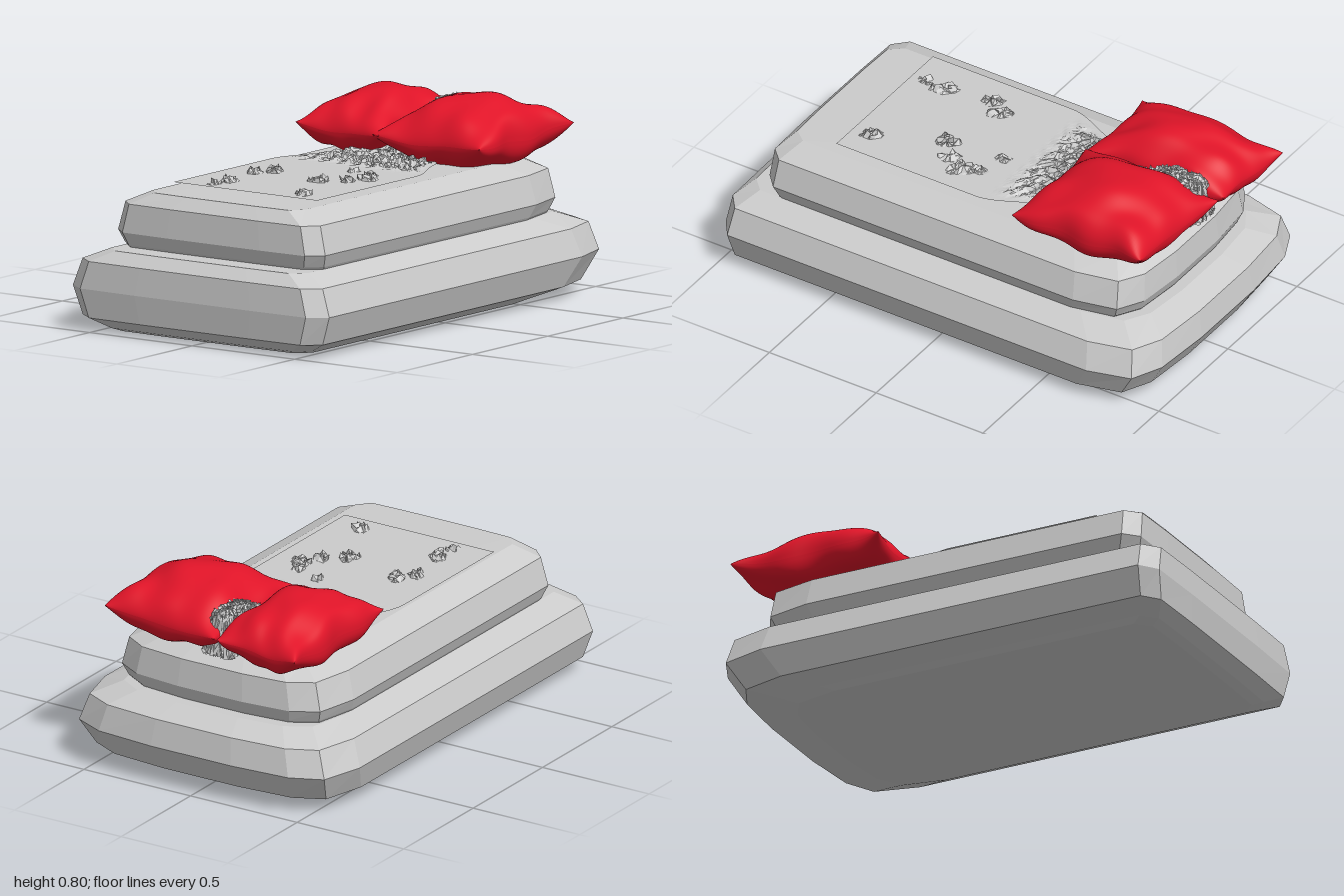
import * as THREE from 'three';

const grey = new THREE.MeshStandardMaterial({ color: 0xcccccc, flatShading: true });
const greyCloth = new THREE.MeshStandardMaterial({ color: 0xcccccc, flatShading: true, side: THREE.DoubleSide });
const red = new THREE.MeshStandardMaterial({ color: 0xe01428, side: THREE.DoubleSide });

const smooth = (a, b, x) => THREE.MathUtils.smoothstep(x, a, b);
const lerp = THREE.MathUtils.lerp;

function seeded(seed) {
  return () => {
    seed = (seed * 1664525 + 1013904223) % 4294967296;
    return seed / 4294967296;
  };
}

function makeMesh(name, positions, index, material) {
  const g = new THREE.BufferGeometry();
  g.setAttribute('position', new THREE.Float32BufferAttribute(positions, 3));
  g.setIndex(index);
  g.computeVertexNormals();
  const mesh = new THREE.Mesh(g, material);
  mesh.name = name;
  return mesh;
}

// Surface from a rule (u, v in 0..1) -> [x, y, z]
function sheet(name, nu, nv, rule, material, flip = false) {
  const pos = [], idx = [];
  for (let i = 0; i <= nu; i++)
    for (let j = 0; j <= nv; j++) pos.push(...rule(i / nu, j / nv));
  for (let i = 0; i < nu; i++)
    for (let j = 0; j < nv; j++) {
      const a = i * (nv + 1) + j, b = a + 1, c = a + nv + 1, d = c + 1;
      if (flip) idx.push(a, c, b, b, c, d);
      else idx.push(a, b, c, b, d, c);
    }
  return makeMesh(name, pos, idx, material);
}

// Faceted cushion: rings of [y, left x, right x, half depth]; the right end is rounder
function cushion(name, rings) {
  const pos = [], idx = [];
  let n = 0;
  for (const [y, xl, xr, hz] of rings) {
    const half = [
      [xl, 0], [xl, hz * 0.45], [xl + 0.005, hz * 0.88], [xl + 0.06, hz], [-0.3, hz], [0.25, hz],
      [xr - 0.26, hz], [xr - 0.08, hz * 0.92], [xr - 0.02, hz * 0.71], [xr, hz * 0.3],
    ];
    const ring = [...half, [xr, 0], ...half.slice(1).reverse().map(([x, z]) => [x, -z])];
    n = ring.length;
    for (const [x, z] of ring) pos.push(x, y, z);
  }
  const last = (rings.length - 1) * n;
  const bottom = rings.length * n, top = bottom + 1;
  pos.push(0, rings[0][0], 0, 0, rings[rings.length - 1][0] + 0.004, 0);
  for (let i = 0; i < n; i++) {
    const k = (i + 1) % n;
    for (let r = 0; r < last; r += n)
      idx.push(r + i, r + k, r + n + k, r + i, r + n + k, r + n + i);
    idx.push(k, i, bottom, last + i, last + k, top);
  }
  return makeMesh(name, pos, idx, grey);
}

// Pillow: two puffed halves meeting at a seam between four corners [x, y, z]
function pillow(name, corners, up, down, phase) {
  const group = new THREE.Group();
  group.name = name;
  const [c00, c10, c01, c11] = corners;
  const half = (side) => (u, v) => {
    // spacing tightens towards the seam
    const s = -Math.cos(u * Math.PI), t = -Math.cos(v * Math.PI);
    const pinchS = 1 - 0.07 * (1 - t * t), pinchT = 1 - 0.06 * (1 - s * s);
    const a = (s * pinchS + 1) / 2, b = (t * pinchT + 1) / 2;
    const p = [0, 1, 2].map((k) => lerp(lerp(c00[k], c10[k], a), lerp(c01[k], c11[k], a), b));
    const ds = Math.max(0, 1 - s * s), dt = Math.max(0, 1 - t * t);
    const puff = Math.pow(ds, side > 0 ? 0.6 : 0.45) * Math.pow(dt, 0.42);
    // creases run in from the seam and fade towards the middle
    const edge = 1 - ds * dt;
    const crease = 1 + 0.09 * edge * (Math.sin(7 * s + phase + 2 * t) + Math.sin(9 * t - phase + 2 * s));
    p[1] += side * (side > 0 ? up : down) * puff * crease - 0.02 * (1 - s * s * t * t);
    p[1] += 0.006 * Math.sin(6 * s + phase) * Math.sin(5 * t);
    p[2] += 0.008 * edge * Math.sin(8 * s + phase);
    return p;
  };
  group.add(sheet(name + 'Top', 48, 48, half(1), red));
  group.add(sheet(name + 'Bottom', 48, 48, half(-1), red, true));
  return group;
}

// Thin cover: flat with rumpled patches, gathered into a crumpled ridge between the pillows
function cover() {
  const rnd = seeded(7);
  const jitter = () => rnd() * 2 - 1;
  const patches = [
    [-0.55, -0.21, 0.035], [-0.46, -0.21, 0.05], [-0.26, -0.24, 0.045], [-0.2, -0.2, 0.05],
    [-0.27, 0.07, 0.05], [-0.2, 0.16, 0.04], [-0.12, 0.2, 0.06], [-0.53, 0.21, 0.045],
    [0, 0.07, 0.035], [-0.05, 0.18, 0.03],
  ];
  return sheet('cover', 140, 60, (u, v) => {
    const t = v * 2 - 1;
    let x = -0.62 + 1.49 * u;
    const neck = smooth(0.3, 0.5, x);
    let w = 0.35 - 0.1 * smooth(0.03, 0.33, x) - 0.21 * neck + 0.025 * smooth(0.6, 0.8, x);
    let z = lerp(-0.02, -0.035, neck) + w * t;
    // ridge height, falling away at the sides and the far end
    const rise = (0.1 * smooth(0.38, 0.55, x) + 0.065 * smooth(0.55, 0.72, x)) * (1 - smooth(0.845, 0.87, x));
    let y = 0.56 + rise * (1 - Math.pow(Math.abs(t), 4));
    let rough = 0;
    for (const [px, pz, r] of patches)
      if (Math.hypot(x - px, (z - pz) * 1.2) < r * (0.8 + 0.3 * Math.sin(40 * x + 55 * z))) rough = 0.016;
    // pleats radiating from the gathered neck
    const fan = smooth(0.06, 0.2, x) * (1 - neck) * (1 - smooth(0.75, 0.95, Math.abs(t)));
    const angle = Math.atan2(z + 0.03, 0.55 - x);
    y += fan * (0.008 + 0.011 * Math.sin(angle * 38 + 2 * Math.sin(x * 40)) + 0.007 * jitter());
    y += rough * (0.5 + jitter()) + neck * 0.02 * jitter();
    x += (rough * 0.8 + fan * 0.008 + neck * 0.012) * jitter();
    z += (rough * 0.8 + fan * 0.004 + neck * 0.018) * jitter();
    return [x, Math.max(y, 0.556), z];
  }, greyCloth);
}

export function createModel() {
  const model = new THREE.Group();
  model.name = 'bed';

  model.add(cushion('baseCushion', [
    [0.0, -0.9, 0.75, 0.47],
    [0.015, -0.94, 0.8, 0.5],
    [0.055, -0.99, 0.93, 0.585],
    [0.17, -1, 1, 0.625],
    [0.28, -0.99, 0.98, 0.585],
    [0.325, -0.94, 0.88, 0.48],
  ]));
  model.add(cushion('mattress', [
    [0.31, -0.83, 0.82, 0.47],
    [0.335, -0.845, 0.84, 0.485],
    [0.385, -0.863, 0.86, 0.505],
    [0.5, -0.855, 0.85, 0.475],
    [0.548, -0.81, 0.78, 0.37],
  ]));
  model.add(cover());

  // Corners in order: back left, back right, front left, front right as seen from above
  model.add(pillow('frontPillow', [
    [0.29, 0.645, -0.06], [0.92, 0.65, -0.065], [0.285, 0.65, 0.465], [0.895, 0.67, 0.465],
  ], 0.165, 0.13, 0.6));
  model.add(pillow('backPillow', [
    [0.305, 0.655, -0.46], [0.96, 0.65, -0.455], [0.29, 0.65, -0.045], [0.93, 0.66, -0.07],
  ], 0.15, 0.125, 2.4));

  return model;
}
